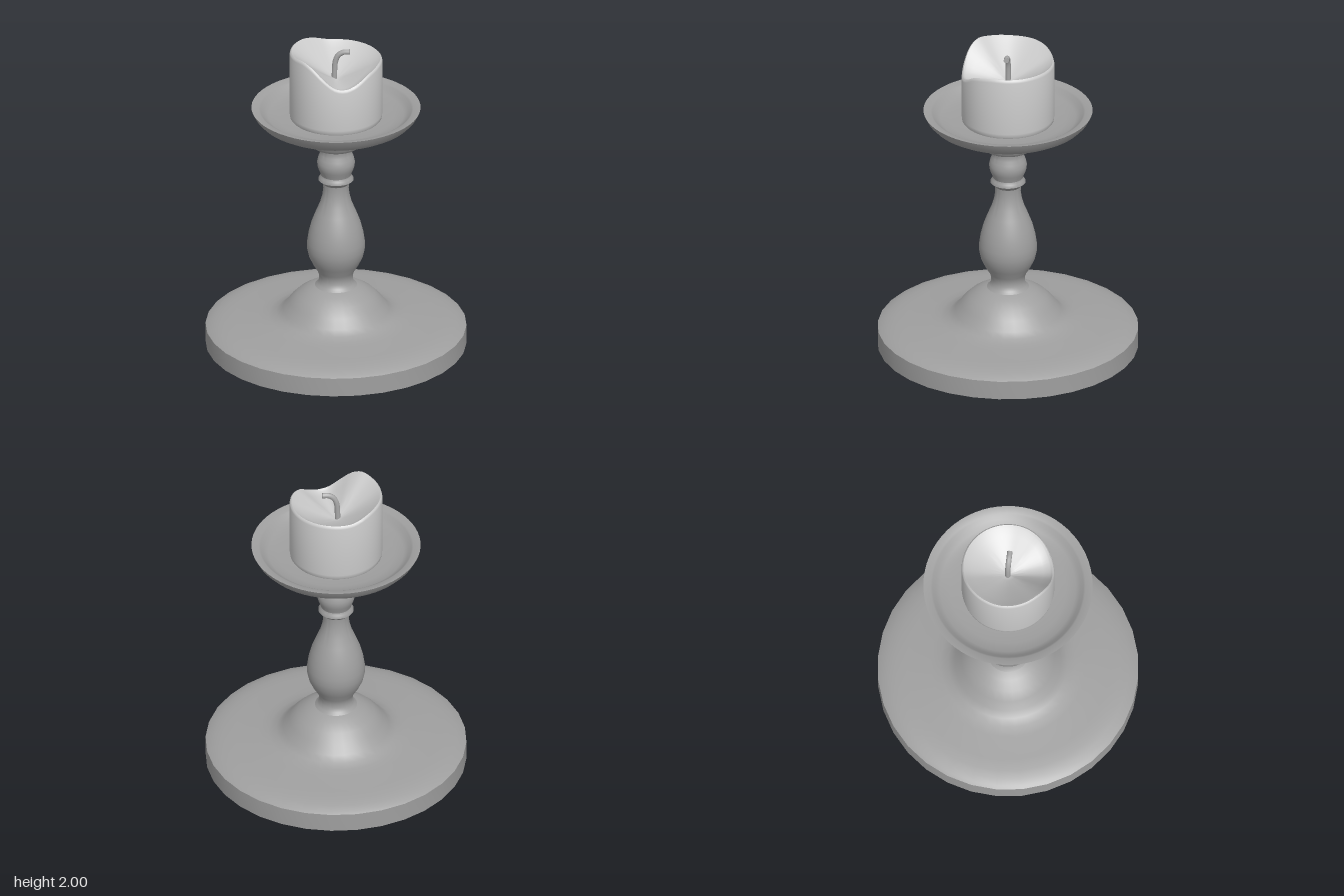
import * as THREE from 'three';
import { toCreasedNormals } from 'three/addons/utils/BufferGeometryUtils.js';

const grey = (color) => new THREE.MeshStandardMaterial({ color, side: THREE.DoubleSide });
const HOLDER = grey(0x9f9f9f);
const WAX = grey(0xcccccc);
const WICK = grey(0xa8a8a8);

function add(group, name, geometry, material = HOLDER) {
  const mesh = new THREE.Mesh(geometry, material);
  mesh.name = name;
  group.add(mesh);
  return mesh;
}

// Profiles are [radius, height] pairs, running up the outside
const lathe = (profile, sides) =>
  new THREE.LatheGeometry(profile.map(([r, y]) => new THREE.Vector2(r, y)), sides);
const turned = (profile, sides = 64, crease = 0.75) => toCreasedNormals(lathe(profile, sides), crease);

// Height of the melted candle rim every 15 degrees, from the front towards +x
const RIM = [1.91, 1.93, 1.94, 1.94, 1.94, 1.94, 1.94, 1.94, 1.94, 1.94, 1.945, 1.965,
  1.98, 1.985, 1.985, 1.985, 1.99, 1.995, 2.0, 1.97, 1.91, 1.855, 1.845, 1.87];
const POOL_Y = 1.8;

function rimHeight(angle) {
  const n = RIM.length;
  const u = ((angle / (Math.PI * 2)) * n + n) % n;
  const i = Math.floor(u), t = u - i;
  const [a, b, c, d] = [-1, 0, 1, 2].map((k) => RIM[(i + k + n) % n]);
  const y = b + 0.5 * t * (c - a + t * (2 * a - 5 * b + 4 * c - d + t * (3 * (b - c) + d - a)));
  return Math.min(y, 2);
}

// Candle: the heights of the lip are relative to the rim, the pool dips to its centre
function candleGeometry() {
  const outer = [[0.272, 1.53], [0.285, 1.545], [0.288, 1.57]];
  const lip = [[0.288, -0.02], [0.285, -0.007], [0.277, 0], [0.27, -0.005]];
  const pool = [0.262, 0.22, 0.17, 0.11, 0.05, 0.001];
  const sides = 72;
  const rows = [...outer, ...lip, ...pool.map((r) => [r, 0])];
  const geo = lathe(rows, sides);
  const pos = geo.attributes.position;
  for (let i = 0; i < pos.count; i++) {
    const row = i % rows.length;
    if (row < outer.length) continue;
    const rim = rimHeight((Math.floor(i / rows.length) / sides) * Math.PI * 2);
    const [r, offset] = rows[row];
    const inPool = row >= outer.length + lip.length;
    pos.setY(i, inPool ? POOL_Y + (rim - 0.012 - POOL_Y) * (r / 0.262) ** 1.2 : rim + offset);
  }
  return toCreasedNormals(geo, 0.9);
}

export function createModel() {
  const group = new THREE.Group();

  // Round foot with a domed centre
  add(group, 'base', turned([
    [0, 0], [0.81, 0], [0.81, 0.12], [0.79, 0.132], [0.75, 0.147], [0.7, 0.158], [0.63, 0.166],
    [0.48, 0.176], [0.42, 0.185], [0.37, 0.2], [0.33, 0.23], [0.29, 0.285], [0.24, 0.335],
    [0.18, 0.372], [0.13, 0.392], [0.1, 0.4],
  ], 32));

  // Vase-shaped stem
  add(group, 'stem', turned([
    [0.135, 0.388], [0.115, 0.405], [0.104, 0.43], [0.104, 0.46], [0.115, 0.49], [0.145, 0.54],
    [0.168, 0.59], [0.179, 0.64], [0.179, 0.69], [0.17, 0.75], [0.152, 0.82], [0.125, 0.89],
    [0.1, 0.95], [0.086, 1.0], [0.079, 1.05], [0.081, 1.085],
  ]));

  // Sharp ring
  add(group, 'collar', turned([
    [0.081, 1.085], [0.093, 1.099], [0.11, 1.113], [0.11, 1.117], [0.099, 1.13], [0.094, 1.145],
  ]));

  // Rounded knob
  add(group, 'knob', turned([
    [0.094, 1.145], [0.099, 1.162], [0.109, 1.185], [0.116, 1.21], [0.117, 1.235], [0.11, 1.265],
    [0.1, 1.29], [0.096, 1.31], [0.1, 1.335],
  ]));

  // Flared cup under the dish
  add(group, 'cup', turned([
    [0.09, 1.335], [0.13, 1.34], [0.15, 1.35], [0.16, 1.37], [0.168, 1.388], [0.186, 1.402],
    [0.207, 1.422], [0.222, 1.445], [0.242, 1.472],
  ], 64, 1.2));

  // Shallow drip dish
  add(group, 'dish', turned([
    [0, 1.468], [0.24, 1.468], [0.32, 1.474], [0.38, 1.485], [0.43, 1.504], [0.475, 1.53],
    [0.505, 1.562], [0.525, 1.602], [0.48, 1.595], [0.468, 1.588], [0.45, 1.568], [0.42, 1.552],
    [0.36, 1.542], [0.28, 1.538], [0, 1.538],
  ]));

  add(group, 'candle', candleGeometry(), WAX);

  // Bent wick, cut flat at the tip
  const path = [[-0.008, 1.79, -0.008], [-0.002, 1.92, -0.002], [0.01, 1.96, 0.012],
    [0.03, 1.98, 0.034], [0.058, 1.983, 0.064]].map((p) => new THREE.Vector3(...p));
  const curve = new THREE.CatmullRomCurve3(path);
  add(group, 'wick', new THREE.TubeGeometry(curve, 20, 0.017, 10), WICK);
  const tip = add(group, 'wickTip', new THREE.CircleGeometry(0.017, 10), WICK);
  tip.position.copy(curve.getPoint(1));
  tip.lookAt(curve.getPoint(1).add(curve.getTangent(1)));

  return group;
}
